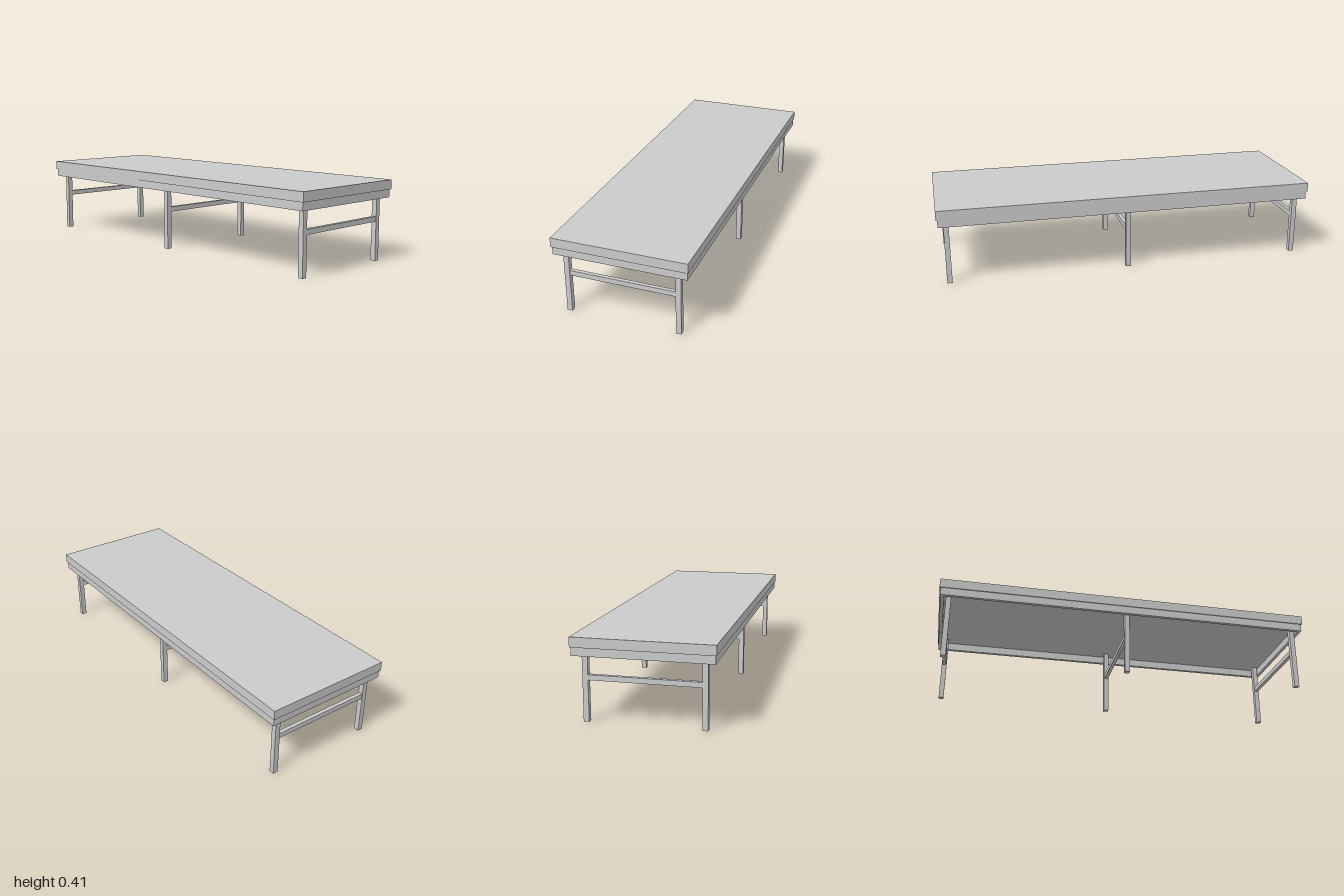
import * as THREE from 'three';

export function createModel() {
  const group = new THREE.Group();
  const material = new THREE.MeshStandardMaterial({ color: 0xcccccc, flatShading: true });

  const topY = 0.413;    // upper surface
  const underY = 0.364;  // underside of the slab
  const apronY = 0.323;  // lower edge of the apron
  const legSize = 0.027;
  const legX = 0.284;

  function addBox(name, parent, [w, h, d], [x, y, z]) {
    const mesh = new THREE.Mesh(new THREE.BoxGeometry(w, h, d), material);
    mesh.name = name;
    mesh.position.set(x, y, z);
    parent.add(mesh);
  }

  // Slab
  addBox('tableTop', group, [0.686, topY - underY, 2], [0, (topY + underY) / 2, 0]);

  // Apron: rectangular frame, open underneath
  const ax = 0.338, az = 0.993, t = 0.018;
  const frame = new THREE.Shape([
    new THREE.Vector2(-ax, -az), new THREE.Vector2(ax, -az),
    new THREE.Vector2(ax, az), new THREE.Vector2(-ax, az),
  ]);
  frame.holes.push(new THREE.Path([
    new THREE.Vector2(-ax + t, -az + t), new THREE.Vector2(-ax + t, az - t),
    new THREE.Vector2(ax - t, az - t), new THREE.Vector2(ax - t, -az + t),
  ]));
  const apronGeometry = new THREE.ExtrudeGeometry(frame, { depth: underY - apronY, bevelEnabled: false });
  apronGeometry.rotateX(-Math.PI / 2);
  const apron = new THREE.Mesh(apronGeometry, material);
  apron.name = 'apron';
  apron.position.y = apronY;
  group.add(apron);

  // Three trestles, each a pair of legs joined by a stretcher
  for (const [name, z] of [['front', 0.952], ['middle', 0.001], ['back', -0.95]]) {
    const trestle = new THREE.Group();
    trestle.name = name + 'Trestle';
    trestle.position.set(-0.001, 0, z);
    for (const [side, s] of [['Left', 1], ['Right', -1]]) {
      addBox(name + side + 'Leg', trestle, [legSize, underY, legSize], [s * legX, underY / 2, 0]);
    }
    addBox(name + 'Stretcher', trestle, [2 * legX - legSize, 0.026, 0.02], [0, 0.215, 0]);
    group.add(trestle);
  }
  return group;
}
